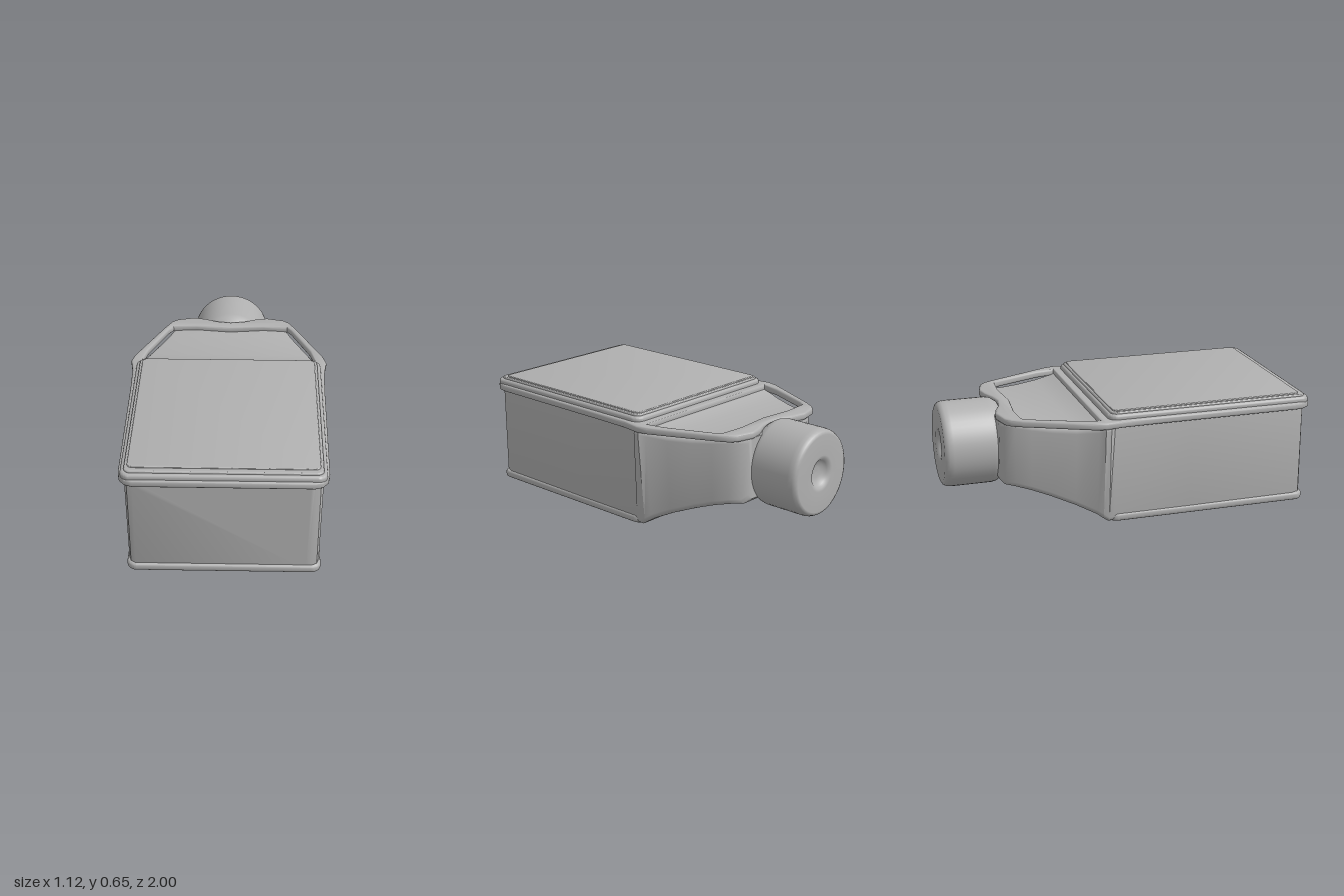
import * as THREE from 'three';
import { toCreasedNormals } from 'three/addons/utils/BufferGeometryUtils.js';

const grey = new THREE.MeshStandardMaterial({ color: 0xb0b0b0 });
grey.name = 'grey plastic';

function add(group, name, geometry) {
  const mesh = new THREE.Mesh(geometry, grey);
  mesh.name = name;
  group.add(mesh);
  return mesh;
}

// One cross-section: a rounded trapezoid, counter-clockwise seen from the front
function section([z, halfTop, halfBottom, yBottom, yTop], r = 0.03) {
  const corners = [
    [halfBottom - r, yBottom + r, -Math.PI / 2], [halfTop - r, yTop - r, 0],
    [-halfTop + r, yTop - r, Math.PI / 2], [-halfBottom + r, yBottom + r, Math.PI],
  ];
  const points = [];
  for (const [cx, cy, start] of corners) {
    for (let k = 0; k <= 4; k++) {
      const a = start + (k / 4) * Math.PI / 2;
      points.push([cx + r * Math.cos(a), cy + r * Math.sin(a), z]);
    }
  }
  return points;
}

// Skin over sections running from front to back, closed at both ends
function loft(stations) {
  const rings = stations.map((s) => section(s));
  const n = rings[0].length;
  const index = [];
  for (let i = 0; i < rings.length - 1; i++) {
    for (let j = 0; j < n; j++) {
      const a = i * n + j, b = i * n + (j + 1) % n;
      index.push(a, a + n, b + n, a, b + n, b);
    }
  }
  const last = (rings.length - 1) * n;
  for (let j = 1; j < n - 1; j++) {
    index.push(0, j, j + 1, last, last + j + 1, last + j);
  }
  const g = new THREE.BufferGeometry();
  g.setAttribute('position', new THREE.Float32BufferAttribute(rings.flat(2), 3));
  g.setIndex(index);
  return toCreasedNormals(g, 0.6);
}

// Horizontal slab with softened edges; shapes are drawn with y = -z
function slab(shape, y0, y1, bevel) {
  const g = new THREE.ExtrudeGeometry(shape, {
    depth: y1 - y0 - 2 * bevel, bevelEnabled: true, bevelThickness: bevel,
    bevelSize: bevel, bevelOffset: -bevel, bevelSegments: 3, curveSegments: 8,
  });
  g.rotateX(-Math.PI / 2).translate(0, y0 + bevel, 0);
  return toCreasedNormals(g, 0.6);
}

function roundedRect(half, zFront, zBack, r) {
  const s = new THREE.Shape();
  s.absarc(half - r, -zFront + r, r, -Math.PI / 2, 0);
  s.absarc(half - r, -zBack - r, r, 0, Math.PI / 2);
  s.absarc(-half + r, -zBack - r, r, Math.PI / 2, Math.PI);
  s.absarc(-half + r, -zFront + r, r, Math.PI, Math.PI * 1.5);
  s.closePath();
  return s;
}

// Mirrors a half outline of [x, z] points about x = 0
function mirrored(half, Type) {
  const left = half.filter(([x]) => x > 0).reverse().map(([x, z]) => [-x, z]);
  return new Type([...half, ...left].map(([x, z]) => new THREE.Vector2(x, -z)));
}

export function createModel() {
  const model = new THREE.Group();
  model.name = 'flatBottle';

  // Body: straight box, flared ridge, then shoulder tapering to the neck
  add(model, 'body', loft([
    [0.965, 0.46, 0.46, 0.04, 0.59],
    [0.95, 0.49, 0.485, 0.033, 0.59],
    [0.91, 0.505, 0.497, 0.03, 0.59],
    [0.3, 0.51, 0.5, 0.028, 0.59],
    [-0.14, 0.515, 0.5, 0.025, 0.59],
    [-0.17, 0.55, 0.505, 0.025, 0.59],
    [-0.2, 0.55, 0.505, 0.045, 0.59],
    [-0.23, 0.52, 0.485, 0.065, 0.578],
    [-0.34, 0.475, 0.45, 0.118, 0.568],
    [-0.46, 0.42, 0.40, 0.163, 0.568],
    [-0.56, 0.37, 0.36, 0.195, 0.575],
    [-0.64, 0.335, 0.325, 0.213, 0.585],
    [-0.69, 0.29, 0.28, 0.215, 0.585],
    [-0.71, 0.25, 0.24, 0.235, 0.575],
  ]));

  // Rim following the whole upper outline, open over the shoulder recess
  const rim = mirrored([
    [0.46, 0.995], [0.5, 0.98], [0.527, 0.945], [0.535, 0.9], [0.54, 0.1],
    [0.545, -0.1], [0.56, -0.2], [0.545, -0.26], [0.5, -0.36], [0.44, -0.49],
    [0.385, -0.61], [0.355, -0.665], [0.32, -0.695], [0.22, -0.72],
    [0.15, -0.705], [0.08, -0.675], [0, -0.662],
  ], THREE.Shape);
  rim.holes.push(mirrored([
    [0.495, -0.215], [0.47, -0.32], [0.42, -0.44], [0.365, -0.57],
    [0.34, -0.605], [0.2, -0.615], [0, -0.595],
  ], THREE.Path));
  add(model, 'rim', slab(rim, 0.572, 0.612, 0.012));

  // Raised steps carrying the large top panel
  add(model, 'upperRim', slab(roundedRect(0.522, 0.982, -0.172, 0.05), 0.595, 0.638, 0.014));
  add(model, 'panelBorder', slab(roundedRect(0.503, 0.96, -0.155, 0.035), 0.62, 0.649, 0.006));
  add(model, 'topPanel', slab(roundedRect(0.488, 0.93, -0.143, 0.03), 0.63, 0.656, 0.004));

  // Lip around the foot of the box
  add(model, 'bottomLip', slab(roundedRect(0.506, 0.978, -0.165, 0.05), 0.024, 0.07, 0.015));

  // Shallow lumps under the base
  for (const [x, z, w] of [[-0.39, 0.8, 0.07], [0.38, 0.65, 0.07], [-0.3, 0, 0.06], [0.3, 0, 0.06]]) {
    const lump = add(model, 'baseLump', new THREE.SphereGeometry(1, 16, 10));
    lump.scale.set(w, 0.025, 0.05);
    lump.position.set(x, 0.03, z);
  }

  // Screw cap with rounded edge and a small dimple in its end
  const profile = [
    [0, 0], [0.19, 0], [0.215, 0.01], [0.234, 0.04], [0.24, 0.07], [0.24, 0.29],
    [0.237, 0.315], [0.228, 0.332], [0.212, 0.34], [0.1, 0.34], [0.083, 0.337],
    [0.07, 0.325], [0.055, 0.31], [0.03, 0.304], [0, 0.303],
  ].map(([r, y]) => new THREE.Vector2(r, y));
  const cap = add(model, 'cap', new THREE.LatheGeometry(profile, 48).rotateX(-Math.PI / 2));
  cap.scale.x = 0.945;
  cap.position.set(0, 0.39, -0.66);

  return model;
}
